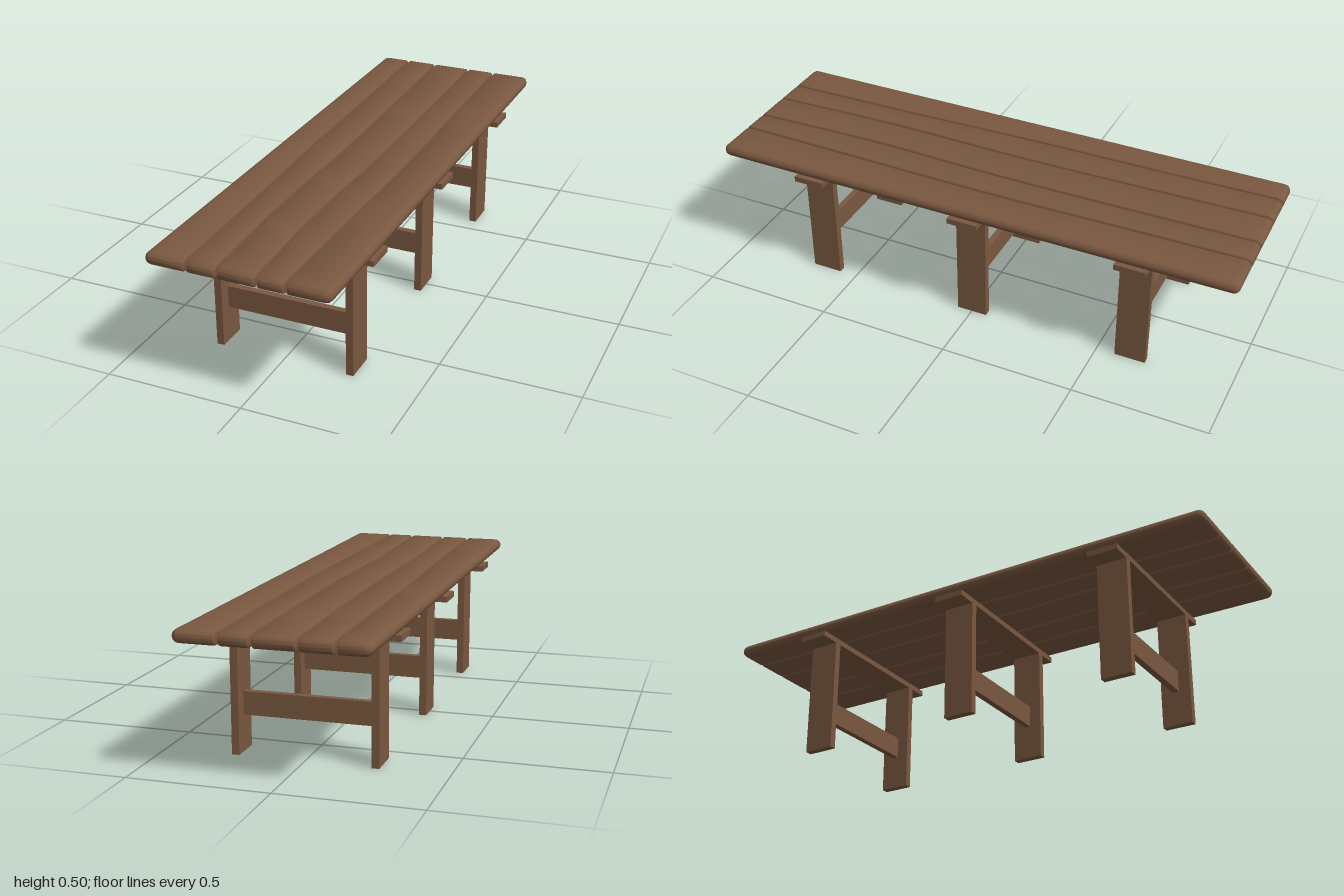
import * as THREE from 'three';
import { toCreasedNormals } from 'three/addons/utils/BufferGeometryUtils.js';

const wood = new THREE.MeshStandardMaterial({ color: 0x7a5840 });

const TOP_Y = 0.4785;  // mid height of the table top
const HALF_H = 0.0235; // half thickness of the planks
const END_R = 0.024;   // rounding of the plank ends
const GAP = 0.004;     // half width of a seam

// Seam lines: x at z = -1, -0.5, 0, 0.5, 1
const seams = [
  [-0.327, -0.327, -0.327, -0.327, -0.327],
  [-0.212, -0.205, -0.2, -0.186, -0.178],
  [-0.09, -0.079, -0.074, -0.082, -0.068],
  [0.063, 0.07, 0.071, 0.058, 0.071],
  [0.174, 0.181, 0.188, 0.18, 0.172],
  [0.327, 0.327, 0.327, 0.327, 0.327],
].map(xs => new THREE.CatmullRomCurve3(
  xs.map((x, i) => new THREE.Vector3(x, 0, -1 + i * 0.5)), false, 'catmullrom', 0.5));

// Stations along z with a scale c that rounds off both ends
function stations() {
  const end = [0.1, 0.35, 0.6, 0.8, 0.93, 1].map(c => [1 - END_R + END_R * Math.sqrt(1 - c * c), c]);
  const list = end.map(([z, c]) => [-z, c]);
  for (let i = 1; i < 24; i++) list.push([(-1 + i / 12) * (1 - END_R), 1]);
  return list.concat(end.slice().reverse());
}

// One plank lofted between two neighbouring seams
function plankGeometry(k) {
  const pos = [], index = [];
  const angles = [-90, -60, -30, -3, 3, 30, 60, 90].map(THREE.MathUtils.degToRad);
  const n = angles.length * 2;
  const rings = stations();
  for (const [z, c] of rings) {
    for (const side of [1, -1]) {
      const outer = side > 0 ? k === 4 : k === 0;
      const e = outer ? 0.023 : 0.006;
      const ry = outer ? 0.022 : 0.012;
      const curve = seams[side > 0 ? k + 1 : k];
      const edge = curve.getPoint((z + 1) / 2).x - (outer ? 0 : side * GAP);
      for (const a of angles) {
        const b = a * side;
        const x = edge - side * e * (1 - c * Math.cos(b));
        const y = c * (Math.sign(b) * (HALF_H - ry) + ry * Math.sin(b));
        pos.push(x, TOP_Y + y, z);
      }
    }
  }
  for (let i = 0; i < rings.length - 1; i++) {
    for (let j = 0; j < n; j++) {
      const a = i * n + j, b = i * n + (j + 1) % n;
      index.push(a, b, a + n, b, b + n, a + n);
    }
  }
  const last = (rings.length - 1) * n;
  for (let j = 1; j < n - 1; j++) {
    index.push(last, last + j, last + j + 1, 0, j + 1, j);
  }
  const g = new THREE.BufferGeometry();
  g.setAttribute('position', new THREE.Float32BufferAttribute(pos, 3));
  g.setIndex(index);
  return toCreasedNormals(g, 0.7);
}

function board(name, w, h, d, x, y, z) {
  const m = new THREE.Mesh(new THREE.BoxGeometry(w, h, d), wood);
  m.name = name;
  m.position.set(x, y, z);
  return m;
}

// Trestle: two legs, a stretcher and a bearer under the planks
function trestle(z) {
  const g = new THREE.Group();
  g.name = 'trestle';
  for (const s of [-1, 1]) {
    g.add(board(s > 0 ? 'leftLeg' : 'rightLeg', 0.027, 0.434, 0.115, s * 0.2465, 0.217, 0));
  }
  g.add(board('stretcher', 0.466, 0.083, 0.024, 0, 0.1715, 0));
  g.add(board('bearer', 0.666, 0.021, 0.115, 0, 0.4445, 0));
  g.position.z = z;
  return g;
}

export function createModel() {
  const table = new THREE.Group();
  table.name = 'plankTable';

  const top = new THREE.Group();
  top.name = 'tableTop';
  for (let k = 0; k < 5; k++) {
    const plank = new THREE.Mesh(plankGeometry(k), wood);
    plank.name = 'plank' + (k + 1);
    top.add(plank);
  }
  table.add(top);

  for (const z of [-0.627, 0, 0.627]) table.add(trestle(z));
  return table;
}
